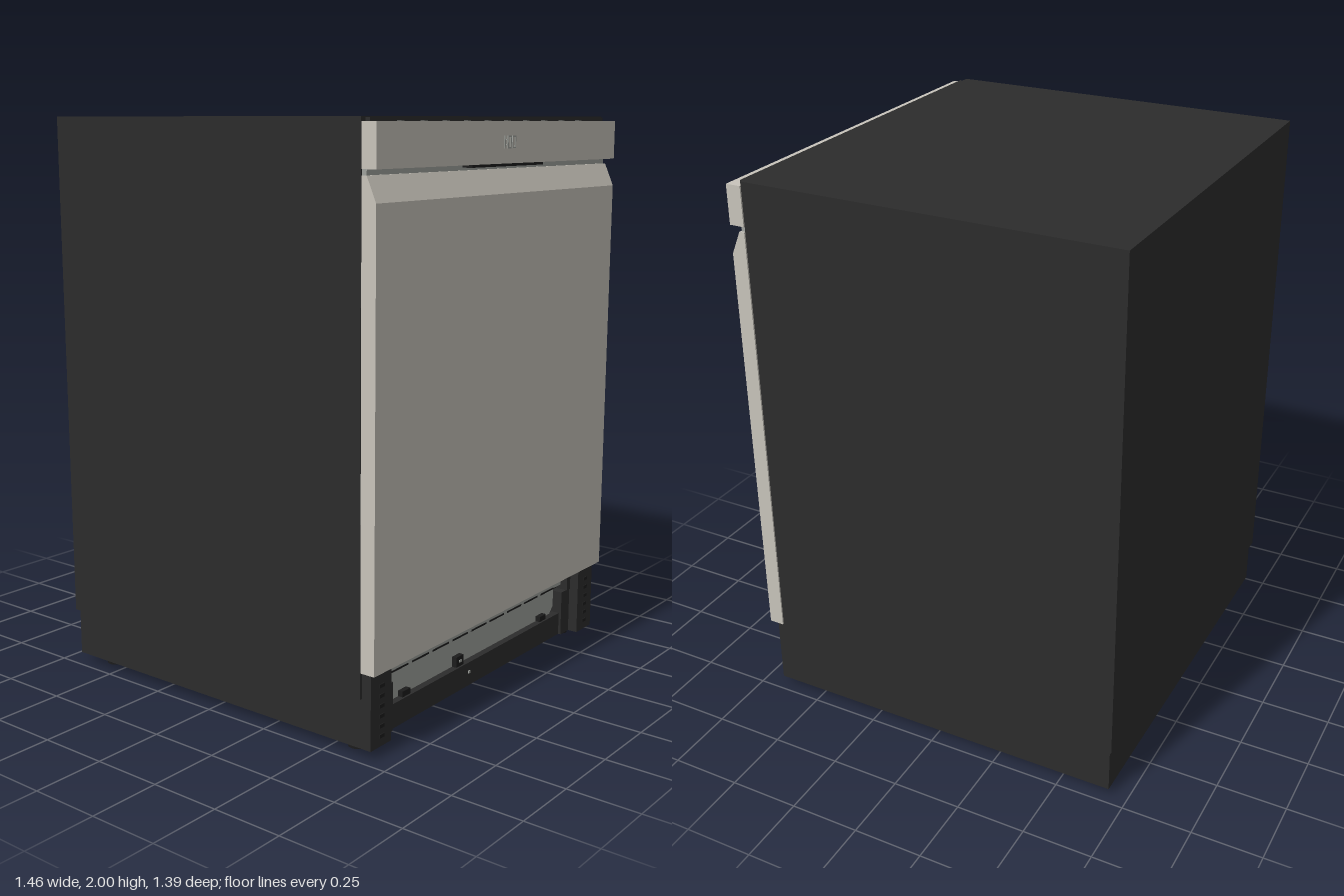
import * as THREE from 'three';

const mat = (name, color) => {
  const m = new THREE.MeshStandardMaterial({ color });
  m.name = name;
  return m;
};

export function createModel() {
  const black = mat('charcoal', 0x2c2c2c);
  const dark = mat('deepBlack', 0x1c1c1c);
  const steel = mat('warmSteel', 0xc8c4bb);
  const grey = mat('zincGrey', 0x9fa29d);

  const model = new THREE.Group();
  model.name = 'dishwasher';

  const add = (name, geo, material) => {
    const mesh = new THREE.Mesh(geo, material);
    mesh.name = name;
    model.add(mesh);
    return mesh;
  };
  // Box given by its extents on each axis
  const box = (name, material, x0, x1, y0, y1, z0, z1) => {
    const g = new THREE.BoxGeometry(x1 - x0, y1 - y0, z1 - z0);
    g.translate((x0 + x1) / 2, (y0 + y1) / 2, (z0 + z1) / 2);
    return add(name, g, material);
  };
  // Side profile of [z, y] points swept across the width
  const sweep = (name, material, points, halfWidth) => {
    const shape = new THREE.Shape(points.map(([z, y]) => new THREE.Vector2(-z, y)));
    const g = new THREE.ExtrudeGeometry(shape, { depth: halfWidth * 2, bevelEnabled: false });
    g.translate(0, 0, -halfWidth);
    g.rotateY(Math.PI / 2);
    return add(name, g, material);
  };

  // Cabinet, stepped back at the lower front
  sweep('cabinet', black,
    [[-0.695, 0.2], [0.59, 0.2], [0.59, 0.29], [0.638, 0.29], [0.638, 2], [-0.695, 2]], 0.73);
  box('base', black, -0.718, 0.718, 0.03, 0.2, -0.685, 0.59);

  // Door with a sloped top edge forming the handle recess
  sweep('doorPanel', steel,
    [[0.641, 0.29], [0.695, 0.29], [0.695, 1.75], [0.66, 1.83], [0.641, 1.83]], 0.732);
  box('handleRecess', grey, -0.725, 0.725, 1.83, 1.85, 0.638, 0.655);
  box('handleLip', dark, -0.22, 0.22, 1.839, 1.848, 0.638, 0.692);

  // Control strip
  box('controlStrip', steel, -0.732, 0.732, 1.848, 1.985, 0.641, 0.695);
  box('topSeal', black, -0.71, 0.71, 1.97, 1.997, 0.638, 0.655);
  for (let i = 0; i < 10; i++) {
    const x = -0.57 + i * 0.12;
    box('touchMark', grey, x - 0.008, x + 0.008, 1.984, 1.987, 0.656, 0.672);
  }

  // Plain display segments
  for (const x of [-0.006, 0.022]) {
    for (const s of [-1, 1]) {
      box('displayUpright', grey, x + s * 0.009 - 0.002, x + s * 0.009 + 0.002, 1.897, 1.938, 0.694, 0.698);
      const y = 1.9175 + s * 0.0185;
      box('displayBar', grey, x - 0.007, x + 0.007, y - 0.002, y + 0.002, 0.694, 0.698);
    }
  }
  box('displayMark', grey, -0.036, -0.032, 1.897, 1.938, 0.694, 0.698);
  for (const y of [1.909, 1.926]) {
    box('displayDot', grey, -0.026, -0.022, y - 0.002, y + 0.002, 0.694, 0.698);
  }

  // Toe space: upper rail, shaped lower plate and sill
  box('upperRail', grey, -0.585, 0.585, 0.218, 0.29, 0.585, 0.61);
  const plate = new THREE.Shape();
  [[-0.52, 0.115], [0.52, 0.115], [0.545, 0.14], [0.545, 0.218], [-0.545, 0.218], [-0.545, 0.14]]
    .forEach(([x, y], i) => (i ? plate.lineTo(x, y) : plate.moveTo(x, y)));
  const plateGeo = new THREE.ExtrudeGeometry(plate, { depth: 0.012, bevelEnabled: false });
  plateGeo.translate(0, 0, 0.588);
  add('lowerPlate', plateGeo, grey);
  box('sill', black, -0.6, 0.6, 0.03, 0.115, 0.58, 0.625);
  for (let i = 0; i < 9; i++) {
    const x = -0.48 + i * 0.12;
    box('railSlot', dark, x - 0.048, x + 0.048, 0.216, 0.222, 0.6, 0.612);
  }
  for (const [x, h] of [[-0.45, 0.02], [-0.13, 0.037], [0.44, 0.02]]) {
    box('plateClip', dark, x - 0.022, x + 0.022, 0.115, 0.115 + h, 0.59, 0.618);
  }
  box('clipScrew', grey, -0.137, -0.123, 0.13, 0.138, 0.617, 0.621);
  box('sillScrew', grey, -0.087, -0.077, 0.075, 0.085, 0.624, 0.628);

  // Front corner posts, with fins and screws, and levelling feet
  const footGeo = new THREE.CylinderGeometry(0.033, 0.033, 0.034, 20);
  for (const s of [-1, 1]) {
    const side = (name, m, a, b, ...rest) =>
      box(name, m, Math.min(s * a, s * b), Math.max(s * a, s * b), ...rest);
    side('cornerPost', black, 0.61, 0.718, 0.03, 0.29, 0.58, 0.672);
    side('postShoulder', black, 0.585, 0.73, 0.2, 0.29, 0.58, 0.638);
    side('postBracket', black, 0.55, 0.61, 0.03, 0.2, 0.585, 0.635);
    for (let i = 0; i < 6; i++) {
      const y = 0.06 + i * 0.034;
      side('postFin', dark, 0.65, 0.675, y, y + 0.012, 0.67, 0.676);
    }
    for (const z of [-0.57, 0.57]) {
      add('foot', footGeo, dark).position.set(s * 0.65, 0.017, z);
    }
  }
  return model;
}
